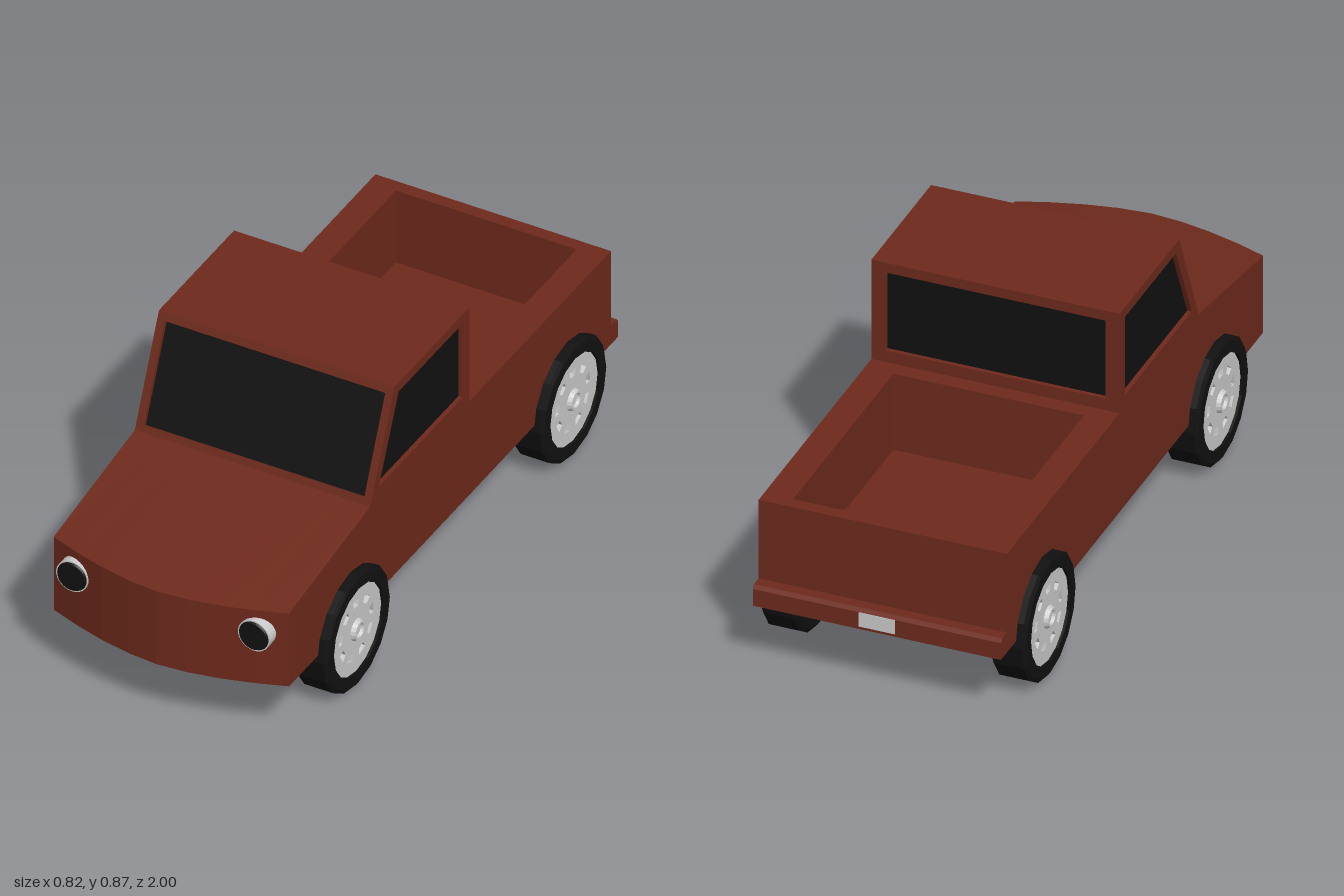
import * as THREE from 'three';

const paint = new THREE.MeshStandardMaterial({ color: 0x6e2a1c, flatShading: true });
const black = new THREE.MeshStandardMaterial({ color: 0x111111, flatShading: true });
const grey = new THREE.MeshStandardMaterial({ color: 0xcccccc, flatShading: true });

const W = 0.378, SILL = 0.215, BELT = 0.54, ROOF = 0.867, CAB_BACK = -0.135, TAIL = -0.955;

function add(parent, name, geometry, material, x = 0, y = 0, z = 0) {
  const mesh = new THREE.Mesh(geometry, material);
  mesh.name = name;
  mesh.position.set(x, y, z);
  parent.add(mesh);
  return mesh;
}

const vectors = (points) => points.map(([x, y]) => new THREE.Vector2(x, y));

// flat plate with optional holes, extruded along +z
function plate(outline, holes, depth, curveSegments = 16) {
  const shape = new THREE.Shape(vectors(outline));
  holes.forEach((h) => shape.holes.push(new THREE.Path(vectors(h))));
  return new THREE.ExtrudeGeometry(shape, { depth, bevelEnabled: false, curveSegments });
}

const rect = (x0, y0, x1, y1) => [[x0, y0], [x1, y0], [x1, y1], [x0, y1]];

// points on a circle
const ring = (r, n) => Array.from({ length: n }, (_, i) => {
  const a = ((i + 0.5) / n) * Math.PI * 2;
  return [r * Math.cos(a), r * Math.sin(a)];
});

// lower body: cabin base and sloping hood with a bowed nose
function hoodGeometry() {
  const g = new THREE.BoxGeometry(2 * W, BELT - SILL, 1, 8, 1, 1);
  const p = g.attributes.position;
  for (let i = 0; i < p.count; i++) {
    const x = p.getX(i), front = p.getZ(i) > 0, top = p.getY(i) > 0;
    p.setZ(i, front ? 0.998 - 0.088 * Math.pow(Math.abs(x) / W, 1.7) : 0.44);
    p.setY(i, top ? (front ? 0.468 : BELT) : SILL);
  }
  g.computeVertexNormals();
  return g;
}

function createBody() {
  const body = new THREE.Group();
  body.name = 'body';
  add(body, 'hood', hoodGeometry(), paint);
  add(body, 'cabinBase', new THREE.BoxGeometry(2 * W, BELT - SILL, 0.44 - CAB_BACK), paint,
    0, (BELT + SILL) / 2, (0.44 + CAB_BACK) / 2);

  // open load bed
  const walls = plate(rect(-W, -CAB_BACK, W, -TAIL), [rect(-0.29, 0.185, 0.29, 0.915)], BELT - SILL);
  add(body, 'bedWalls', walls.rotateX(-Math.PI / 2), paint, 0, SILL, 0);
  add(body, 'bedFloor', new THREE.BoxGeometry(0.59, 0.075, 0.74), paint, 0, SILL + 0.0375, -0.55);

  // rear bumper with a chamfered top, and its plate
  const bumper = plate([[0, 0], [0.043, 0], [0.043, 0.055], [0.034, 0.066], [0, 0.066]], [], 2 * W);
  add(body, 'rearBumper', bumper.rotateY(Math.PI / 2), paint, -W, SILL, TAIL + 0.002).rotation.set(0, 0, 0);
  body.getObjectByName('rearBumper').rotation.y = Math.PI;
  // the half turn mirrors the profile's start corner, so settle it by its bounds
  bumper.computeBoundingBox();
  const b = bumper.boundingBox;
  body.getObjectByName('rearBumper').position.set((b.min.x + b.max.x) / 2, SILL, -0.998 + b.max.z);
  if (b.max.z < 0.01) {
    body.getObjectByName('rearBumper').rotation.y = 0;
    body.getObjectByName('rearBumper').position.set(-(b.min.x + b.max.x) / 2, SILL, -0.998 - b.min.z);
  }
  add(body, 'rearPlate', new THREE.BoxGeometry(0.11, 0.046, 0.01), grey, 0, 0.247, -0.995);
  return body;
}

function createCab() {
  const cab = new THREE.Group();
  cab.name = 'cab';
  const t = 0.014;
  const profile = [[CAB_BACK, BELT], [0.44, BELT], [0.3, ROOF], [CAB_BACK, ROOF]];
  const opening = [[-0.097, 0.578], [0.39, 0.578], [0.275, 0.835], [-0.097, 0.835]];

  // side frames: the profile's x runs along the model's z
  for (const s of [1, -1]) {
    const frame = plate(profile, [opening], t).rotateY(-Math.PI / 2);
    add(cab, s > 0 ? 'leftFrame' : 'rightFrame', frame, paint, s > 0 ? W : -W + t);
  }

  // dark glass core showing through the frame openings
  const core = plate([[CAB_BACK + t, BELT], [0.424, BELT], [0.29, ROOF - t], [CAB_BACK + t, ROOF - t]],
    [], 2 * (W - t)).rotateY(-Math.PI / 2);
  add(cab, 'windowGlass', core, black, W - t);

  // sloping windscreen frame
  const lean = Math.atan2(0.14, ROOF - BELT), length = Math.hypot(0.14, ROOF - BELT);
  const front = plate(rect(-W, 0, W, length), [rect(-0.354, 0.02, 0.354, length - 0.025)], t);
  add(cab, 'windscreenFrame', front.translate(0, 0, -t), paint, 0, BELT, 0.44).rotation.x = -lean;

  const back = plate(rect(-W, BELT, W, ROOF), [rect(-0.335, 0.578, 0.335, 0.835)], t);
  add(cab, 'rearFrame', back, paint, 0, 0, CAB_BACK);
  add(cab, 'roof', new THREE.BoxGeometry(2 * W, t, 0.3 - CAB_BACK), paint,
    0, ROOF - t / 2, (0.3 + CAB_BACK) / 2);
  return cab;
}

// wheel with its axle along z, outer face towards +z
function createWheel() {
  const wheel = new THREE.Group();
  const half = 0.054;
  const section = [[0.144, -half], [0.18, -half], [0.192, -half + 0.008], [0.192, half - 0.008],
    [0.18, half], [0.144, half], [0.144, -half]];
  add(wheel, 'tyre', new THREE.LatheGeometry(vectors(section), 16).rotateX(Math.PI / 2), black);

  // rim with a circle of slots
  const slots = [];
  for (let i = 0; i < 9; i++) {
    const a = (i / 9) * Math.PI * 2 + Math.PI / 2, c = Math.cos(a), s = Math.sin(a);
    slots.push([[0.078, -0.013], [0.1, -0.018], [0.1, 0.018], [0.078, 0.013]]
      .map(([r, k]) => [r * c - k * s, r * s + k * c]));
  }
  add(wheel, 'rim', plate(ring(0.147, 16), slots, 0.092), grey, 0, 0, -0.046);

  // hub with a hollow cap
  const hub = [[0, 0.05], [0.018, 0.05], [0.022, 0.059], [0.029, 0.059], [0.035, 0.046], [0.035, 0.04]];
  add(wheel, 'hub', new THREE.LatheGeometry(vectors(hub).reverse(), 16).rotateX(Math.PI / 2), grey);
  return wheel;
}

export function createModel() {
  const model = new THREE.Group();
  model.name = 'pickupTruck';
  model.add(createBody(), createCab());

  for (const s of [1, -1]) {
    const side = s > 0 ? 'Left' : 'Right';
    for (const [end, z] of [['front', 0.555], ['rear', -0.7]]) {
      const wheel = createWheel();
      wheel.name = end + side + 'Wheel';
      wheel.position.set(s * 0.351, 0.194, z);
      wheel.rotation.y = s * Math.PI / 2;
      model.add(wheel);
    }
    // headlight: grey housing with a dark lens
    const lamp = new THREE.Group();
    lamp.name = 'headlight' + side;
    lamp.position.set(s * 0.292, 0.392, 0);
    add(lamp, 'housing', new THREE.CylinderGeometry(0.051, 0.051, 0.06, 32).rotateX(Math.PI / 2), grey, 0, 0, 0.93);
    add(lamp, 'lens', new THREE.CylinderGeometry(0.044, 0.048, 0.006, 32).rotateX(Math.PI / 2), black, 0, 0, 0.962);
    model.add(lamp);
  }
  return model;
}
